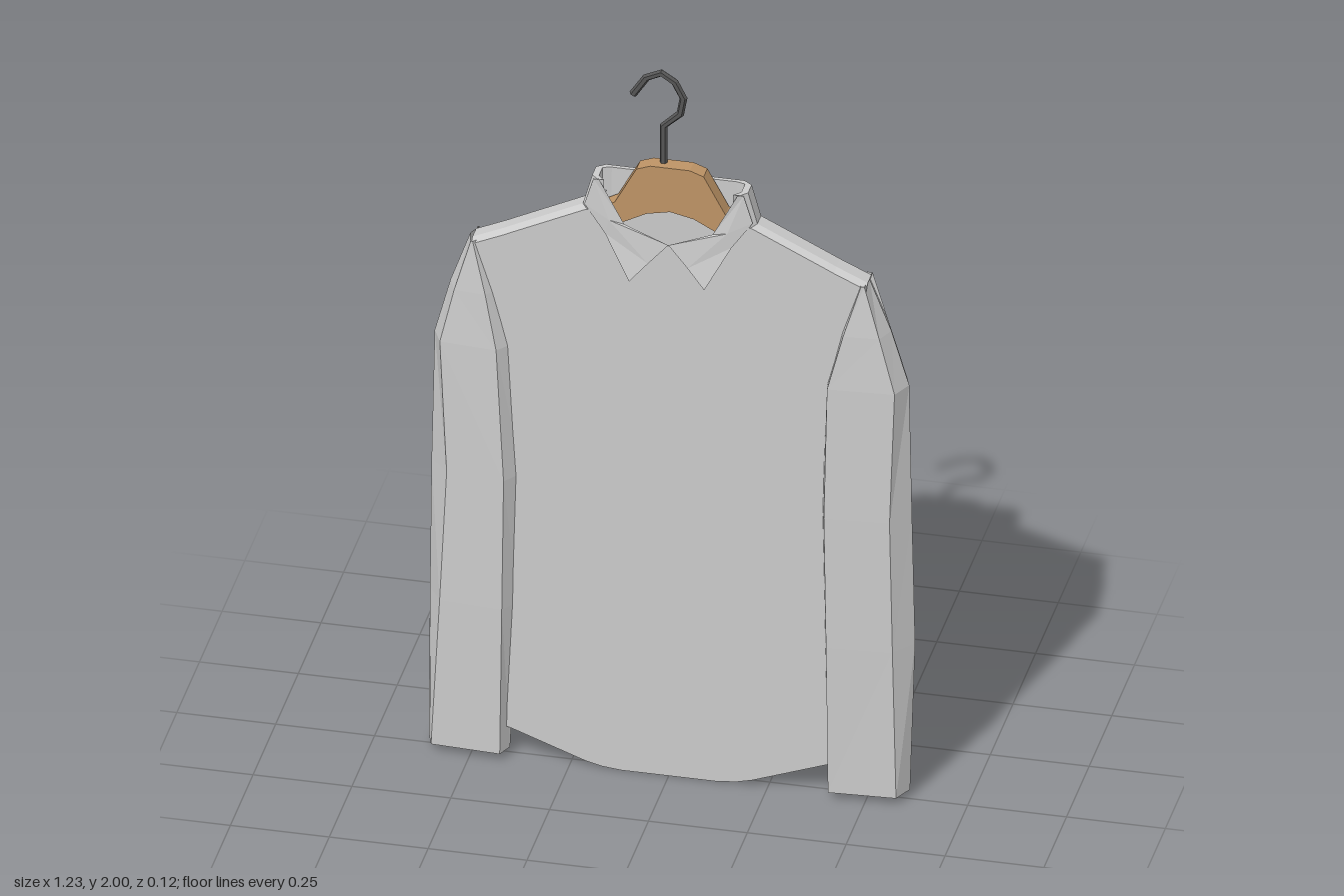
import * as THREE from 'three';

const material = (color) => new THREE.MeshStandardMaterial({ color, flatShading: true, side: THREE.DoubleSide });
const cloth = material(0xcccccc);
const wood = material(0xbe9466);
const wire = material(0x555555);

// Skin a list of equally long point rows; "closed" joins each row into a ring
function skin(rows, closed = false) {
  const n = rows[0].length;
  const index = [];
  for (let i = 0; i < rows.length - 1; i++) {
    for (let j = 0; j < (closed ? n : n - 1); j++) {
      const a = i * n + j, b = i * n + (j + 1) % n;
      index.push(a, b, a + n, b, b + n, a + n);
    }
  }
  const geometry = new THREE.BufferGeometry();
  geometry.setAttribute('position', new THREE.Float32BufferAttribute(rows.flat(2), 3));
  geometry.setIndex(index);
  const flat = geometry.toNonIndexed();
  flat.computeVertexNormals();
  return flat;
}

// The back panel bulges gently towards the middle
const backZ = (x, y) =>
  -0.046 - 0.018 * Math.sin(Math.PI * Math.min(1, Math.max(0, y / 1.5))) * (1 - (x / 0.75) ** 2);

export function createModel() {
  const group = new THREE.Group();
  const add = (name, geometry, mat = cloth) => {
    const mesh = new THREE.Mesh(geometry, mat);
    mesh.name = name;
    group.add(mesh);
    return mesh;
  };

  // Body: columns of x, hem height, front top, back top
  const half = [
    [0, 0, 1.52, 1.62], [0.12, 0, 1.565, 1.62], [0.17, 0.005, 1.605, 1.615],
    [0.21, 0.015, 1.598, 1.598], [0.4, 0.085, 1.506, 1.506], [0.42, 0.09, 1.496, 1.496], [0.5, 1.3, 1.46, 1.46],
  ];
  const columns = [...half.slice(1).reverse().map(([x, ...r]) => [-x, ...r]), ...half];
  const steps = [0, 0.15, 0.3, 0.45, 0.6, 0.8, 1];
  add('body', skin(columns.map(([x, hem, frontTop, backTop]) => [
    ...steps.map((t) => {
      const y = backTop + (hem - backTop) * t;
      return [x, y, backZ(x, y)];
    }),
    ...steps.map((t) => [x, hem + (frontTop - hem) * t, 0.026]),
  ])));

  for (const s of [-1, 1]) {
    const side = s > 0 ? 'left' : 'right';

    // Ridged strip along the shoulder
    add(side + 'Shoulder', skin(half.slice(2).map(([x, , f, b]) => [
      [s * x, f, 0.026], [s * x, f + 0.012, 0.01], [s * x, b + 0.012, -0.03], [s * x, b, backZ(x, b)],
    ])));

    // Sleeve: y, inner x, front crest x, front outer x, outermost x, crest z
    const rows = s > 0 ? [
      [1.47, 0.48, 0.487, 0.495, 0.5, 0.03], [1.33, 0.435, 0.445, 0.535, 0.555, 0.045],
      [1.18, 0.4, 0.407, 0.575, 0.6, 0.055], [0.81, 0.385, 0.4, 0.563, 0.607, 0.06],
      [0.44, 0.392, 0.405, 0.57, 0.615, 0.058], [0.02, 0.4, 0.408, 0.578, 0.602, 0.05],
    ] : [
      [1.47, 0.48, 0.495, 0.5, 0.51, 0.03], [1.33, 0.435, 0.46, 0.54, 0.56, 0.045],
      [1.18, 0.395, 0.43, 0.575, 0.6, 0.055], [0.81, 0.375, 0.41, 0.557, 0.608, 0.06],
      [0.44, 0.385, 0.415, 0.575, 0.612, 0.058], [0.02, 0.405, 0.422, 0.598, 0.615, 0.05],
    ];
    add(side + 'Sleeve', skin(rows.map(([y, inner, crest, outer, edge, z]) => [
      [s * inner, y, 0.01], [s * crest, y, z], [s * outer, y, 0.026 + (z - 0.026) * 0.6],
      [s * edge, y, -0.01], [s * (edge - 0.015), y, backZ(edge, y)],
      [s * (inner + 0.02), y, backZ(inner, y) + 0.003],
    ]), true));

    // Folded collar point, lifted towards its tip
    add(side + 'CollarFlap', skin([
      [[s * 0.175, 1.69, 0.03], [s * 0.19, 1.69, 0.028], [s * 0.213, 1.615, 0.028]],
      [[s * 0.112, 1.57, 0.029], [s * 0.15, 1.58, 0.034], [s * 0.16, 1.54, 0.032]],
      [[0, 1.525, 0.03], [s * 0.05, 1.47, 0.038], [s * 0.095, 1.42, 0.05]],
    ]));
  }

  // Collar band: outer path (x, z) around the back of the neck, leaning inwards
  const path = [[0.205, 0.028], [0.222, 0.01], [0.222, -0.03], [0.2, -0.047]];
  const band = [...path, ...path.slice().reverse().map(([x, z]) => [-x, z])];
  add('collarBand', skin(band.map(([x, z]) => {
    const s = Math.sign(x), inZ = Math.max(z, -0.036);
    return [
      [x, 1.6, z], [x - s * 0.025, 1.69, z], [x - s * 0.042, 1.69, inZ], [x - s * 0.04, 1.6, inZ],
    ];
  }), true));

  // Wooden hanger, with arms running down inside the shoulders
  const rightEdge = [[0.05, 1.735], [0.085, 1.722], [0.14, 1.62], [0.42, 1.47], [0.42, 1.43], [0.12, 1.565], [0.06, 1.597]];
  const outline = [...rightEdge, [0, 1.61], ...rightEdge.slice().reverse().map(([x, y]) => [-x, y])];
  const hangerShape = new THREE.Shape(outline.map(([x, y]) => new THREE.Vector2(x, y)));
  add('hanger', new THREE.ExtrudeGeometry(hangerShape, { depth: 0.042, bevelEnabled: false }), wood)
    .position.z = -0.03;

  // Bent wire hook, mitred at each corner
  const bends = [[-0.022, 1.72], [-0.022, 1.84], [0.02, 1.88], [0.028, 1.925], [0.006, 1.968],
    [-0.028, 1.99], [-0.066, 1.972], [-0.1, 1.92]].map(([x, y]) => new THREE.Vector2(x, y));
  add('hook', skin(bends.map((p, i) => {
    const along = bends[Math.min(i + 1, bends.length - 1)].clone().sub(bends[Math.max(i - 1, 0)]).normalize();
    return Array.from({ length: 6 }, (_, k) => {
      const a = k * Math.PI / 3, r = 0.01 * Math.cos(a);
      return [p.x + along.y * r, p.y - along.x * r, -0.015 + 0.009 * Math.sin(a)];
    });
  }), true), wire);

  return group;
}
